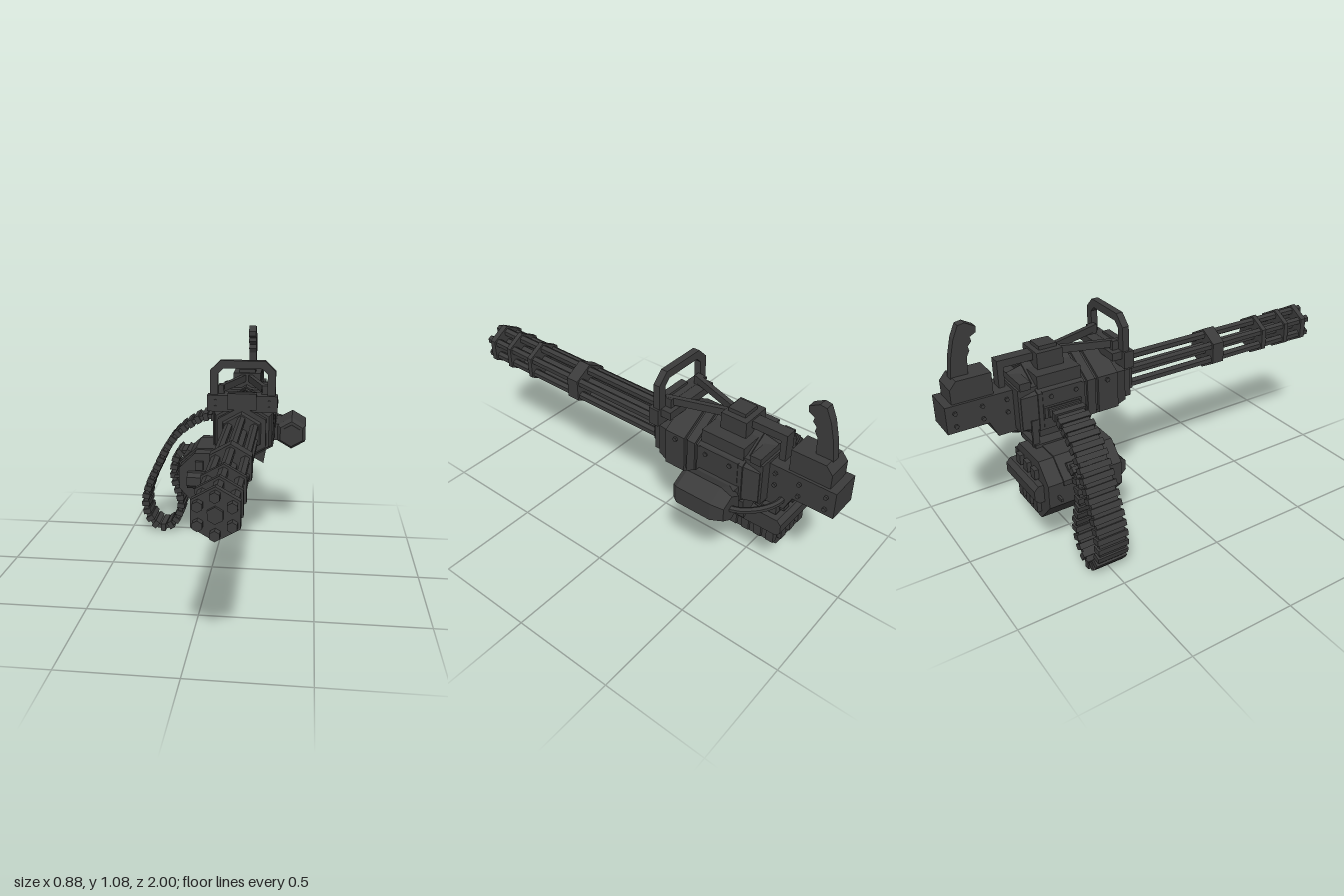
import * as THREE from 'three';

const CX = 0.128, CY = 0.655; // barrel axis

export function createModel() {
  const root = new THREE.Group();
  root.name = 'rotaryGun';
  const gunmetal = new THREE.MeshStandardMaterial({ color: 0x3b3b3b, flatShading: true });
  gunmetal.name = 'gunmetal';

  const add = (name, geo) => {
    const m = new THREE.Mesh(geo, gunmetal);
    m.name = name;
    root.add(m);
    return m;
  };
  // box given by its extents
  const box = (name, x0, x1, y0, y1, z0, z1) =>
    add(name, new THREE.BoxGeometry(x1 - x0, y1 - y0, z1 - z0)
      .translate((x0 + x1) / 2, (y0 + y1) / 2, (z0 + z1) / 2));
  // six-sided prism along z with a corner pointing up
  const hex = (name, x, y, z0, z1, rFront, rBack = rFront) =>
    add(name, new THREE.CylinderGeometry(rFront, rBack, z1 - z0, 6)
      .rotateX(Math.PI / 2).translate(x, y, (z0 + z1) / 2));
  const toShape = pts => new THREE.Shape(pts.map(p => new THREE.Vector2(p[0], p[1])));
  const extrude = (shape, depth) => new THREE.ExtrudeGeometry(shape, { depth, bevelEnabled: false });
  // (x, y) profile swept along z
  const profileXY = (name, pts, z0, z1, hole) => {
    const s = toShape(pts);
    if (hole) s.holes.push(toShape(hole));
    return add(name, extrude(s, z1 - z0).translate(0, 0, z0));
  };
  // (z, y) profile swept along x
  const profileZY = (name, pts, x0, x1) =>
    add(name, extrude(toShape(pts), x1 - x0).rotateY(-Math.PI / 2).translate(x1, 0, 0));
  // square bar between two points
  const beam = (name, a, b, w, h) => {
    const A = new THREE.Vector3(...a), B = new THREE.Vector3(...b);
    const m = add(name, new THREE.BoxGeometry(w, h, A.distanceTo(B)));
    m.position.copy(A).add(B).multiplyScalar(0.5);
    m.lookAt(B);
  };

  // Barrel cluster
  for (let i = 0; i < 6; i++) {
    const a = i * Math.PI / 3;
    hex('barrel', CX + 0.072 * Math.sin(a), CY + 0.072 * Math.cos(a), -0.13, 1, 0.021);
  }
  hex('barrelCore', CX, CY, -0.13, 0.985, 0.033);
  [[0.94, 0.97], [0.825, 0.85], [0.675, 0.7], [0.36, 0.425]].forEach(([a, b]) =>
    hex('barrelClamp', CX, CY, a, b, 0.104));

  // Hexagonal housing, front to back
  [[-0.15, -0.11, 0.1, 0.11], [-0.18, -0.14, 0.135, 0.135], [-0.225, -0.175, 0.15, 0.165],
    [-0.325, -0.225, 0.173, 0.173], [-0.345, -0.32, 0.157, 0.157], [-0.38, -0.34, 0.173, 0.173],
    [-0.4, -0.375, 0.16, 0.16], [-0.62, -0.395, 0.176, 0.176], [-0.69, -0.62, 0.168, 0.15]]
    .forEach(([z0, z1, f, b]) => hex('housingSection', CX, CY, z0, z1, f, b));
  box('receiverTop', CX - 0.13, CX + 0.13, 0.7, 0.815, -0.61, -0.4);
  box('receiverBack', CX - 0.125, CX + 0.125, 0.57, 0.77, -0.7, -0.6);
  for (const s of [-1, 1]) {
    box('housingRail', CX + s * 0.14 - 0.015, CX + s * 0.14 + 0.015, 0.57, 0.75, -0.6, -0.41);
    for (const z of [-0.28, -0.44, -0.56])
      add('sideBolt', new THREE.CylinderGeometry(0.011, 0.011, 0.32, 6)
        .rotateZ(Math.PI / 2).translate(CX, 0.72, z));
  }

  // Front mounting plate with bolts
  box('frontPlate', CX - 0.17, CX + 0.17, 0.757, 0.837, -0.2, -0.15);
  box('plateBlock', CX - 0.07, CX + 0.07, 0.77, 0.85, -0.17, -0.135);
  box('plateShelf', CX - 0.15, CX + 0.15, 0.8, 0.837, -0.25, -0.19);
  for (const s of [-1, 1]) for (const y of [0.78, 0.81])
    hex('plateBolt', CX + s * 0.13, y, -0.155, -0.143, 0.008);

  // Carry handle arch
  const arch = (w, y0, y1, c) => [[CX - w, y0], [CX + w, y0], [CX + w, y1 - c],
    [CX + w - c, y1], [CX - w + c, y1], [CX - w, y1 - c]];
  profileXY('carryHandle', arch(0.159, 0.83, 1.003, 0.05), -0.2, -0.168, arch(0.12, 0.838, 0.965, 0.026));

  // Top frame: A-shaped struts, sight block and rear spine
  for (const s of [-1, 1]) {
    beam('frameStrut', [CX + s * 0.015, 0.863, -0.46], [CX + s * 0.105, 0.863, -0.19], 0.022, 0.035);
    box('strutFoot', CX + s * 0.105 - 0.014, CX + s * 0.105 + 0.014, 0.82, 0.88, -0.23, -0.19);
  }
  box('sightBase', CX - 0.07, CX + 0.07, 0.8, 0.89, -0.575, -0.45);
  box('sightBlock', CX - 0.042, CX + 0.042, 0.88, 0.907, -0.55, -0.465);
  box('rearSpine', CX - 0.027, CX + 0.027, 0.845, 0.88, -0.74, -0.55);
  box('rearPost', CX - 0.027, CX + 0.027, 0.73, 0.88, -0.74, -0.712);
  box('rearBracket', CX - 0.13, CX + 0.13, 0.765, 0.8, -0.69, -0.64);

  // Rear grip housing
  profileZY('rearHousing', [[-0.62, 0.755], [-1, 0.755], [-1, 0.63], [-0.815, 0.63],
    [-0.78, 0.555], [-0.62, 0.555]], CX - 0.073, CX + 0.073);
  profileZY('gripMount', [[-0.78, 0.75], [-0.78, 0.855], [-0.935, 0.855], [-0.965, 0.82], [-0.965, 0.75]],
    CX - 0.06, CX + 0.06);
  for (const z of [-0.73, -0.84, -0.96]) for (const y of [0.66, 0.72])
    add('housingBolt', new THREE.CylinderGeometry(0.01, 0.01, 0.166, 6)
      .rotateZ(Math.PI / 2).translate(CX, y, z));
  profileZY('grip', [[-0.865, 0.85], [-0.862, 0.93], [-0.848, 0.955], [-0.853, 0.975], [-0.835, 0.995],
    [-0.84, 1.015], [-0.812, 1.03], [-0.81, 1.055], [-0.855, 1.08], [-0.885, 1.075],
    [-0.91, 1.02], [-0.93, 0.94], [-0.942, 0.85]], CX - 0.02, CX + 0.02);

  // Motor pod on the left side with its cable
  box('motorArm', 0.24, 0.33, 0.55, 0.635, -0.61, -0.41);
  hex('motorPod', 0.365, 0.59, -0.58, -0.41, 0.083);
  hex('motorFront', 0.365, 0.59, -0.41, -0.385, 0.066, 0.083);
  hex('motorCap', 0.365, 0.59, -0.39, -0.38, 0.05);
  hex('motorBack', 0.365, 0.59, -0.635, -0.58, 0.083, 0.062);
  const cable = new THREE.CatmullRomCurve3([[0.18, 0.6, -0.77], [0.24, 0.6, -0.765], [0.3, 0.595, -0.73],
    [0.35, 0.59, -0.67], [0.37, 0.59, -0.62]].map(p => new THREE.Vector3(...p)));
  add('motorCable', new THREE.TubeGeometry(cable, 10, 0.014, 6));

  // Ejection chute under the housing
  profileXY('ejectionChute', [[0.1, 0.485], [0.222, 0.42], [0.238, 0.52], [0.2, 0.58], [0.12, 0.55]], -0.61, -0.42);

  // Ammunition box
  profileXY('ammoBox', [[-0.213, 0.295], [-0.12, 0.193], [0.06, 0.193], [0.088, 0.22], [0.088, 0.455],
    [0.06, 0.487], [-0.13, 0.487], [-0.213, 0.405]], -0.69, -0.33);
  const band = [[-0.28, 0.325], [-0.28, 0.37], [-0.3, 0.39], [-0.715, 0.39],
    [-0.735, 0.37], [-0.735, 0.325], [-0.715, 0.305], [-0.3, 0.305]];
  profileZY('ammoBand', band, -0.166, 0.12);
  for (const [y0, y1] of [[0.4, 0.447], [0.23, 0.296]]) {
    for (const x of [-0.105, -0.033, 0.038]) {
      box('boxRib', x - 0.02, x + 0.02, y0, y1, -0.71, -0.31);
    }
    for (let i = 0; i < 6; i++) {
      const z = -0.345 - i * 0.066;
      box('sideRib', 0.07, 0.101, y0, y1, z - 0.019, z + 0.019);
    }
  }
  box('boxLatch', -0.245, -0.2, 0.32, 0.36, -0.54, -0.48);
  for (const z of [-0.645, -0.39]) {
    box('boxPin', -0.247, -0.2, 0.333, 0.347, z - 0.005, z + 0.005);
    box('boxHook', 0.08, 0.122, 0.43, 0.445, z - 0.012, z + 0.012);
  }
  // strap hugging the upper corner of the box
  profileXY('boxStrap', [[-0.222, 0.39], [-0.212, 0.39], [-0.212, 0.41], [-0.13, 0.485], [-0.02, 0.485],
    [-0.02, 0.494], [-0.134, 0.494], [-0.222, 0.414]], -0.62, -0.4);

  // Bracket joining the box to the housing
  box('boxNeck', -0.028, 0.12, 0.475, 0.503, -0.65, -0.38);
  box('neckBlock', 0.03, 0.17, 0.47, 0.56, -0.6, -0.42);
  for (const z of [-0.64, -0.4])
    box('bracketPost', -0.018, -0.004, 0.49, 0.62, z - 0.015, z + 0.015);

  // Ammunition belt: a strip with raised links
  box('beltInlet', -0.04, 0.02, 0.627, 0.678, -0.6, -0.42);
  const path = new THREE.CatmullRomCurve3([[-0.02, 0.653], [-0.09, 0.653], [-0.165, 0.615], [-0.235, 0.56],
    [-0.295, 0.48], [-0.35, 0.37], [-0.4, 0.255], [-0.418, 0.17], [-0.402, 0.085], [-0.36, 0.035],
    [-0.318, 0.022], [-0.27, 0.045], [-0.235, 0.1], [-0.222, 0.17], [-0.238, 0.24], [-0.257, 0.31],
    [-0.257, 0.38], [-0.24, 0.435], [-0.21, 0.46], [-0.165, 0.44]].map(p => new THREE.Vector3(p[0], p[1], -0.51)));
  const left = [], right = [], N = 44;
  for (let i = 0; i <= N; i++) {
    const p = path.getPointAt(i / N), t = path.getTangentAt(i / N);
    left.push([p.x - t.y * 0.012, p.y + t.x * 0.012]);
    right.unshift([p.x + t.y * 0.012, p.y - t.x * 0.012]);
  }
  profileXY('beltStrip', left.concat(right), -0.575, -0.445);
  const links = 32;
  for (let i = 0; i < links; i++) {
    const u = (i + 0.5) / links, p = path.getPointAt(u), t = path.getTangentAt(u);
    const link = add('beltLink', new THREE.BoxGeometry(0.027, 0.04, 0.15));
    link.position.copy(p);
    link.rotation.z = Math.atan2(t.y, t.x);
  }
  return root;
}
